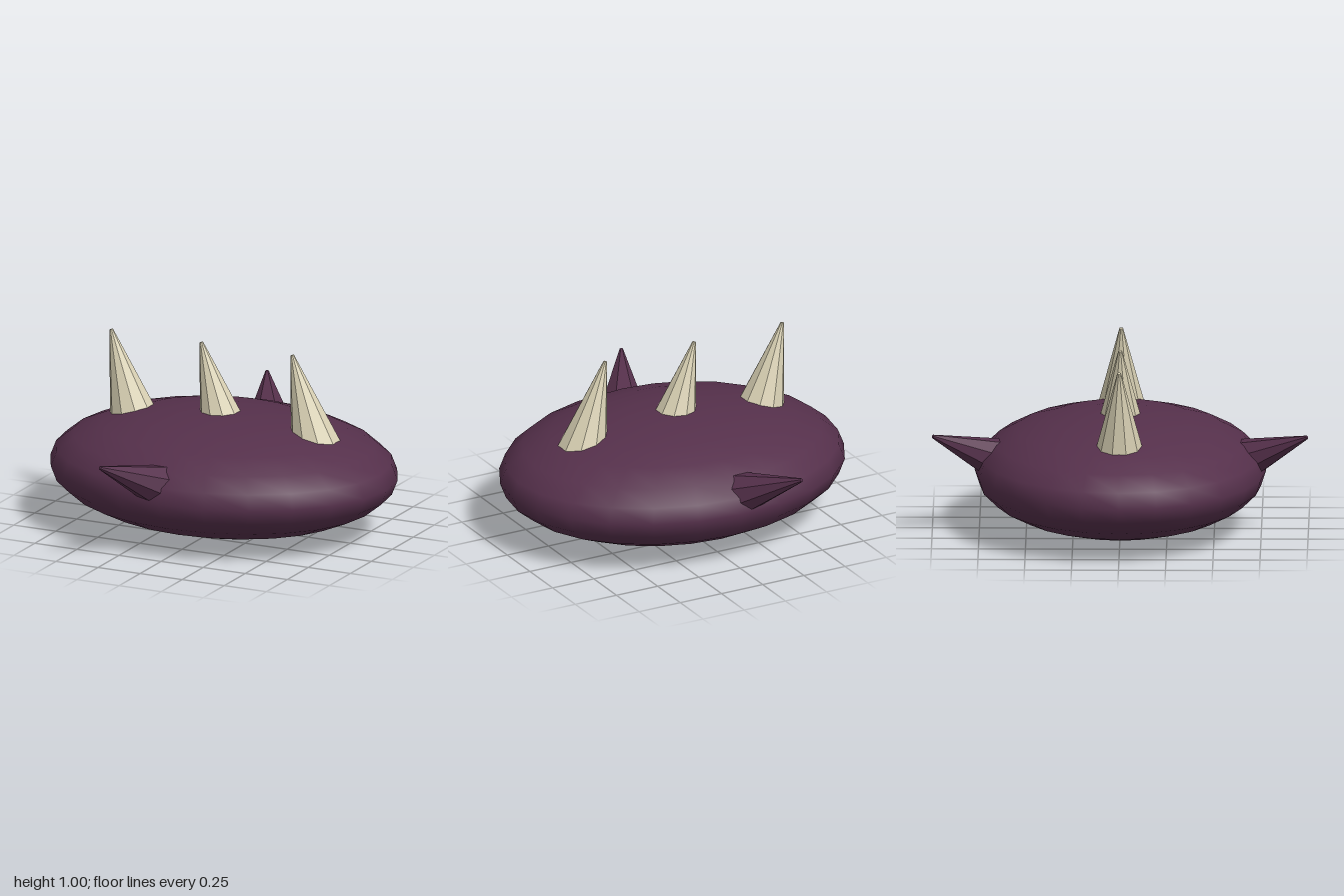
import * as THREE from 'three';

const shell = new THREE.MeshStandardMaterial({ color: 0x55304b });
shell.name = 'plum shell';
const ivory = new THREE.MeshStandardMaterial({ color: 0xd9d1b4 });
ivory.name = 'ivory horn';

// Faceted, slightly blunted cone whose point is at tip and whose axis runs along dir
function spike(name, tip, dir, length, radius, sides, material) {
  const geometry = new THREE.CylinderGeometry(0.01, radius, length, sides)
    .translate(0, -length / 2, 0)
    .toNonIndexed();
  geometry.computeVertexNormals();
  const mesh = new THREE.Mesh(geometry, material);
  mesh.name = name;
  mesh.position.set(...tip);
  mesh.quaternion.setFromUnitVectors(new THREE.Vector3(0, 1, 0), new THREE.Vector3(...dir).normalize());
  return mesh;
}

export function createModel() {
  const group = new THREE.Group();
  group.name = 'spikedShell';

  // Flattened oval body
  const body = new THREE.Mesh(new THREE.SphereGeometry(1, 24, 12).scale(0.965, 0.32, 0.775), shell);
  body.name = 'body';
  body.position.y = 0.322;
  group.add(body);

  // Row of horns along the back, leaning towards -x
  const lean = THREE.MathUtils.degToRad(16);
  [-0.67, -0.135, 0.405].forEach((x, i) => {
    group.add(spike(`backHorn${i + 1}`, [x, 1, 0], [-Math.sin(lean), Math.cos(lean), 0], 0.55, 0.148, 10, ivory));
  });

  // Swept spikes, one on each flank
  for (const side of [1, -1]) {
    const name = side > 0 ? 'frontFlankSpike' : 'rearFlankSpike';
    group.add(spike(name, [-0.24, 0.555, side * 0.995], [-0.43, 0.397, side * 0.81], 0.45, 0.126, 8, shell));
  }
  return group;
}
